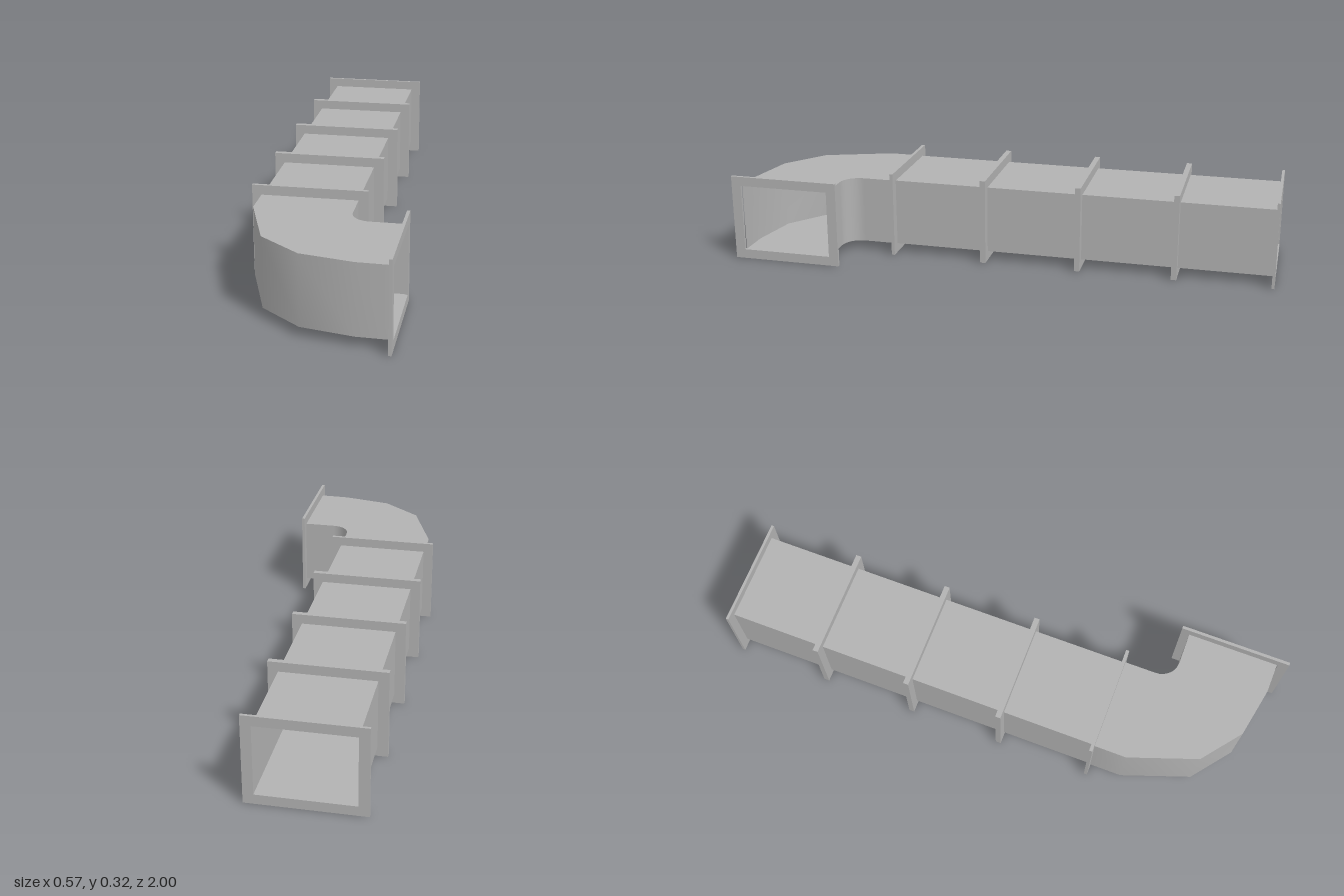
import * as THREE from 'three';

const X0 = -0.25, X1 = 0.087;   // duct sides
const Y0 = 0.035, Y1 = 0.287;   // duct floor and roof
const RIM = 0.036, HEIGHT = 0.322;

// Upright wall following a plan path of [x, z] points, smooth along its length
function wall(path) {
  const pos = [], idx = [];
  path.forEach(([x, z], i) => {
    pos.push(x, Y0, z, x, Y1, z);
    if (i) {
      const a = 2 * (i - 1);
      idx.push(a, a + 2, a + 1, a + 1, a + 2, a + 3);
    }
  });
  const g = new THREE.BufferGeometry();
  g.setAttribute('position', new THREE.Float32BufferAttribute(pos, 3));
  g.setIndex(idx);
  g.computeVertexNormals();
  return g;
}

// Flat floor or roof panel bounded by two plan paths
function panel(outer, inner, y) {
  const outline = [...outer, ...[...inner].reverse()].map(([x, z]) => new THREE.Vector2(x, -z));
  return new THREE.ShapeGeometry(new THREE.Shape(outline)).rotateX(-Math.PI / 2).translate(0, y, 0);
}

// Rectangular rim with a duct-sized opening, extruded along +z from z = 0
function flangeGeometry(a, b, depth) {
  const rect = (T, l, r, d, u) => new T([[l, d], [r, d], [r, u], [l, u]].map(p => new THREE.Vector2(...p)));
  const shape = rect(THREE.Shape, a - RIM, b + RIM, 0, HEIGHT);
  shape.holes.push(rect(THREE.Path, a, b, Y0, Y1));
  return new THREE.ExtrudeGeometry(shape, { depth, bevelEnabled: false });
}

export function createModel() {
  const model = new THREE.Group();
  model.name = 'ventilationDuct';
  const metal = new THREE.MeshStandardMaterial({ color: 0xb2b2b2, side: THREE.DoubleSide });
  metal.name = 'galvanisedGrey';

  const add = (parent, name, geometry) => {
    const mesh = new THREE.Mesh(geometry, metal);
    mesh.name = name;
    parent.add(mesh);
    return mesh;
  };
  // Open-ended thin-walled tube between two plan paths
  const duct = (name, outer, inner) => {
    const group = new THREE.Group();
    group.name = name;
    add(group, 'outerWall', wall(outer));
    add(group, 'innerWall', wall(inner));
    add(group, 'roof', panel(outer, inner, Y1));
    add(group, 'floor', panel(outer, inner, Y0));
    model.add(group);
  };

  // Four straight sections
  const joints = [-1, -0.64, -0.282, 0.076, 0.43];
  for (let i = 0; i < 4; i++) {
    const [a, b] = [joints[i], joints[i + 1]];
    duct('straightSection' + (i + 1), [[X0, a], [X0, b]], [[X1, a], [X1, b]]);
  }

  // Flanges: single at the far end, paired at the joints
  joints.forEach((z, i) => {
    const depth = i === 0 ? 0.01 : i === 4 ? 0.012 : 0.02;
    const start = i === 0 ? z : z - depth / 2;
    add(model, 'flange' + (i + 1), flangeGeometry(X0, X1, depth)).position.z = start;
  });

  // Elbow turning from the straight run towards +x
  const outer = [[-0.253, 0.43], [-0.253, 0.555], [-0.165, 0.805], [-0.02, 0.92], [0.165, 0.957], [0.28, 0.96]];
  const inner = [[0.089, 0.43], [0.089, 0.55]];
  for (let i = 1; i <= 8; i++) {
    const t = (i / 8) * Math.PI / 2;
    inner.push([0.157 - 0.068 * Math.cos(t), 0.552 + 0.07 * Math.sin(t)]);
  }
  inner.push([0.28, 0.622]);
  duct('elbow', outer, inner);

  // Mouth flange facing +x
  const mouth = add(model, 'mouthFlange', flangeGeometry(-0.964, -0.626, 0.011));
  mouth.rotation.y = Math.PI / 2;
  mouth.position.x = 0.276;

  return model;
}
